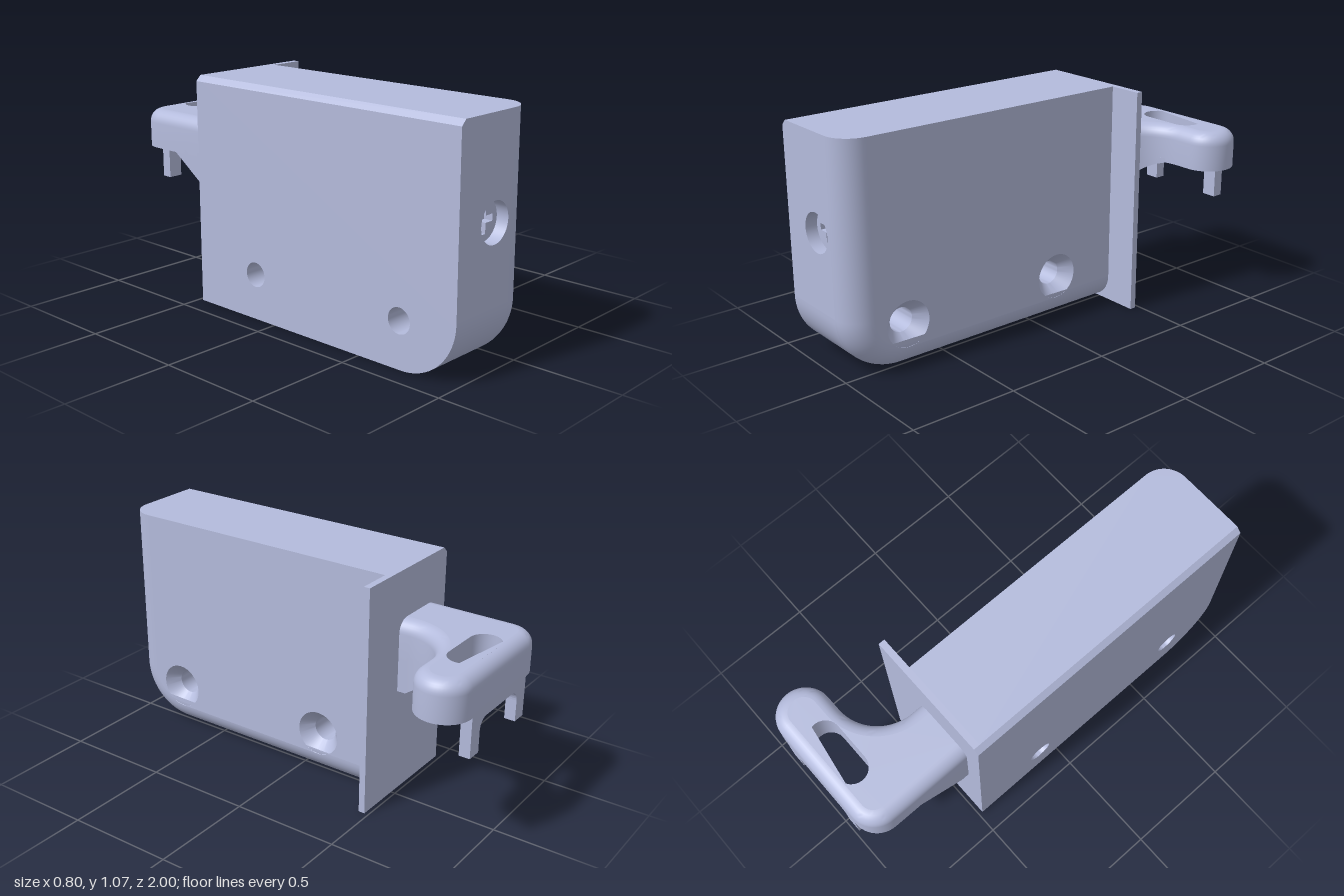
import * as THREE from 'three';
import { toCreasedNormals } from 'three/addons/utils/BufferGeometryUtils.js';

const L = -0.4, R = 0.06, TOP = 1.065, BACK = -0.45, FRONT = 1, FILLET = 0.12, CORNER = 0.27, CHAMFER = 0.025;
const FLAT = R - FILLET; // where the rounded edge begins
const HALF = Math.PI / 2;
const paint = new THREE.MeshStandardMaterial({ color: 0xb4bbdc, side: THREE.DoubleSide });
paint.name = 'paleBlueGrey';

const v3 = (x, y, z) => new THREE.Vector3(x, y, z);
const v2 = (x, y) => new THREE.Vector2(x, y);

function add(parent, name, geometry) {
  const mesh = new THREE.Mesh(geometry, paint);
  mesh.name = name;
  parent.add(mesh);
  return mesh;
}

// Points on a circular arc
function arc(cx, cy, r, a0, a1, n = 12) {
  return Array.from({ length: n + 1 }, (_, i) => {
    const a = a0 + (a1 - a0) * i / n;
    return v2(cx + r * Math.cos(a), cy + r * Math.sin(a));
  });
}
const circle = (cx, cy, r) => arc(cx, cy, r, 0, Math.PI * 2, 48).slice(0, 48);

function shapeOf(points, holes = []) {
  const s = new THREE.Shape(points);
  s.holes = holes.map(h => new THREE.Path(h));
  return s;
}
const sheet = (points, holes) => new THREE.ShapeGeometry(shapeOf(points, holes));

// Skin a series of equal-length rings
function loft(rings, closed = false, crease = 0.5) {
  const n = rings[0].length, pos = [], index = [];
  rings.forEach(r => r.forEach(p => pos.push(p.x, p.y, p.z)));
  for (let i = 0; i < rings.length - 1; i++)
    for (let j = 0; j < (closed ? n : n - 1); j++) {
      const k = (j + 1) % n, a = i * n + j, b = i * n + k;
      index.push(a, b, b + n, a, b + n, a + n);
    }
  const g = new THREE.BufferGeometry();
  g.setAttribute('position', new THREE.Float32BufferAttribute(pos, 3));
  g.setIndex(index);
  return toCreasedNormals(g, crease);
}

// Side outline of the housing as (z, y), inset by d at the front and bottom
function sidePath(d, top = TOP) {
  return [v2(FRONT - d, top), ...arc(FRONT - CORNER, CORNER, CORNER - d, 0, -HALF, 20), v2(BACK, d)];
}

// Recessed cross-slot screw, facing local +z
function screw(name, r, limit) {
  const g = new THREE.Group(), depth = 0.055, slot = 0.04;
  g.name = name;
  const wall = new THREE.LatheGeometry([v2(r, 0), v2(r, -depth)], 48).rotateX(HALF);
  const p = wall.attributes.position;
  for (let i = 0; i < p.count; i++) p.setX(i, Math.min(p.getX(i), limit));
  add(g, 'recessWall', wall);
  const a = 0.06, b = 0.015;
  const cross = [[b, a], [-b, a], [-b, b], [-a, b], [-a, -b], [-b, -b], [-b, -a], [b, -a], [b, -b], [a, -b], [a, b], [b, b]]
    .map(q => v2(...q));
  add(g, 'screwHead', new THREE.ExtrudeGeometry(shapeOf(circle(0, 0, r), [cross]), { depth: slot, bevelEnabled: false })
    .translate(0, 0, -depth - slot));
  add(g, 'slotFloor', new THREE.CircleGeometry(r, 48).translate(0, 0, -depth - slot));
  return g;
}

function housing() {
  const g = new THREE.Group();
  g.name = 'housing';
  const bores = [[0.715, 0.21], [-0.115, 0.21]], sx = -0.17;

  // Flat walls
  const rightPts = [...sidePath(FILLET), v2(BACK, TOP)].map(p => v2(-p.x, p.y));
  add(g, 'boredSide', sheet(rightPts, bores.map(([z, y]) => circle(-z, y, 0.107))).rotateY(HALF).translate(R, 0, 0));
  const leftPts = [...sidePath(0, TOP - CHAMFER), v2(BACK, TOP - CHAMFER)];
  add(g, 'mountingSide', sheet(leftPts, bores.map(([z, y]) => circle(z, y, 0.057))).rotateY(-HALF).translate(L, 0, 0));
  add(g, 'frontWall', sheet([v2(L, CORNER), v2(FLAT, CORNER), v2(FLAT, TOP), v2(L + CHAMFER, TOP), v2(L, TOP - CHAMFER)],
    [circle(sx, 0.625, 0.09)]).translate(0, 0, FRONT));
  const limit = FLAT - 0.002, br = 0.137, bz = -0.27;
  const mouth = circle(sx, bz, br).map(p => v2(Math.min(p.x, limit), p.y));
  add(g, 'bottomWall', sheet([v2(L, BACK), v2(FLAT, BACK), v2(FLAT, FRONT - CORNER), v2(L, FRONT - CORNER)], [mouth])
    .rotateX(HALF));
  add(g, 'topWall', sheet([v2(L + CHAMFER, -BACK), v2(L + CHAMFER, -FRONT),
    ...arc(FLAT, -FRONT + FILLET, FILLET, -HALF, 0), v2(R, -BACK)]).rotateX(-HALF).translate(0, TOP, 0));

  // Rounded corner, rounded edge and chamfer
  const cornerPts = sidePath(0).slice(1, -1);
  add(g, 'roundedCorner', loft([L, FLAT].map(x => cornerPts.map(p => v3(x, p.y, p.x)))));
  const rings = [];
  for (let i = 0; i <= 12; i++) {
    const a = HALF * i / 12;
    rings.push(sidePath(FILLET * (1 - Math.cos(a))).map(p => v3(FLAT + FILLET * Math.sin(a), p.y, p.x)));
  }
  add(g, 'roundedEdge', loft(rings));
  add(g, 'chamfer', loft([[L, TOP - CHAMFER], [L + CHAMFER, TOP]].map(([x, y]) => [v3(x, y, BACK), v3(x, y, FRONT)])));

  // Countersunk through holes
  for (const [z, y] of bores) {
    const bore = new THREE.LatheGeometry([v2(0.107, R), v2(0.057, 0), v2(0.057, L)], 48).rotateZ(-HALF);
    add(g, 'countersunkHole', toCreasedNormals(bore, 0.5)).position.set(0, y, z);
  }

  // Adjusting screws
  const frontScrew = screw('frontScrew', 0.09, 1);
  frontScrew.position.set(sx, 0.625, FRONT);
  const bottomScrew = screw('bottomScrew', br, limit - sx);
  bottomScrew.position.set(sx, 0, bz);
  bottomScrew.rotation.x = HALF;
  g.add(frontScrew, bottomScrew);
  return g;
}

// Plan outline of the latch as (x, -z), inset by d
function latchOutline(d) {
  return [
    v2(-0.32 + d, 0.46), v2(-0.02 - d, 0.46),
    ...arc(0.2, 0.53, 0.22 + d, Math.PI, HALF, 20),
    ...arc(0.275, 0.875, 0.125 - d, -HALF, HALF, 24),
    ...arc(-0.2, 0.88, 0.12 - d, HALF, Math.PI)
  ];
}

function latch() {
  const g = new THREE.Group(), low = 0.66, high = 0.84, round = 0.06;
  g.name = 'latch';
  const lift = (pts, y) => pts.map(p => v3(p.x, y, -p.y));
  const slot = [...arc(0.13, 0.873, 0.07, -HALF, HALF), ...arc(-0.05, 0.873, 0.07, HALF, HALF * 3)];

  // Hook plate with rounded upper edge and a long slot
  const rings = [lift(latchOutline(0), low)];
  for (let i = 0; i <= 8; i++) {
    const a = HALF * i / 8;
    rings.push(lift(latchOutline(round * (1 - Math.cos(a))), high - round + round * Math.sin(a)));
  }
  add(g, 'hookRim', loft(rings, true));
  add(g, 'hookTop', sheet(latchOutline(round), [slot]).rotateX(-HALF).translate(0, high, 0));
  add(g, 'hookUnderside', sheet(latchOutline(0).map(p => v2(p.x, -p.y)), [slot.map(p => v2(p.x, -p.y))])
    .rotateX(HALF).translate(0, low, 0));
  add(g, 'slotWall', loft([lift(slot, high), lift(slot, low)], true));

  // Sloped stem under the hook
  const zs = [-0.46, -0.52];
  for (let i = 1; i <= 12; i++) zs.push(-0.52 - 0.22 * i / 12);
  add(g, 'stem', loft(zs.map(z => {
    const t = Math.max(0, -z - 0.53);
    const x = 0.2 - Math.sqrt(0.0484 - t * t);
    const y = 0.505 + 0.155 * Math.max(0, (-0.52 - z) / 0.22);
    return [v3(-0.32, y, z), v3(-0.32, 0.68, z), v3(x, 0.68, z), v3(x, y, z)];
  }), true));

  // Two legs joined by a rounded arch
  const legs = [v2(-0.19, 0.68), v2(-0.19, 0.477), v2(-0.12, 0.477),
    ...arc(-0.07, 0.575, 0.05, Math.PI, HALF, 8), ...arc(0.15, 0.575, 0.05, HALF, 0, 8),
    v2(0.2, 0.477), v2(0.27, 0.477), v2(0.27, 0.68)];
  add(g, 'legs', new THREE.ExtrudeGeometry(shapeOf(legs), { depth: 0.05, bevelEnabled: false }).translate(0, 0, -1));
  return g;
}

export function createModel() {
  const model = new THREE.Group();
  model.name = 'latchHousing';
  model.add(housing(), latch());

  // Back plate wider than the housing
  const plate = [v2(L, 0), v2(0.22, 0), v2(0.22, TOP), v2(L + CHAMFER, TOP), v2(L, TOP - CHAMFER)];
  add(model, 'backPlate', new THREE.ExtrudeGeometry(shapeOf(plate), { depth: 0.03, bevelEnabled: false })
    .translate(0, 0, BACK - 0.03));
  return model;
}
